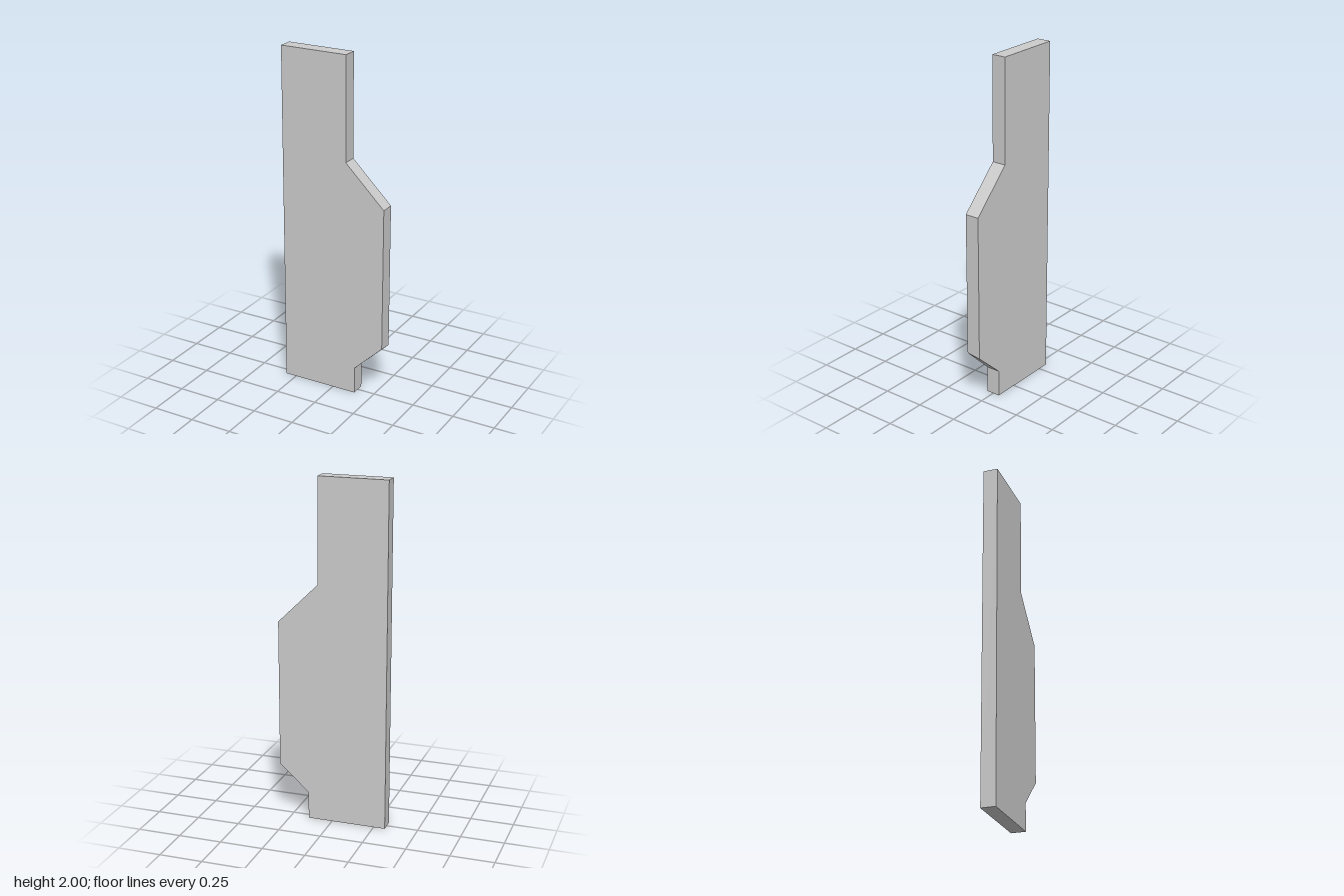
import * as THREE from 'three';

export function createModel() {
  const group = new THREE.Group();
  const depth = 0.084;

  // Plate outline, counter-clockwise from the bottom left
  const outline = [
    [-0.317, 0], [0.143, 0], [0.143, 0.16], [0.317, 0.328],
    [0.317, 1.17], [0.082, 1.402], [0.082, 2], [-0.317, 2],
  ];
  const shape = new THREE.Shape(outline.map(([x, y]) => new THREE.Vector2(x, y)));
  const geometry = new THREE.ExtrudeGeometry(shape, { depth, bevelEnabled: false });
  geometry.translate(0, 0, -depth / 2);

  // The lower outer corner sits slightly lower on the back face
  const p = geometry.attributes.position;
  for (let i = 0; i < p.count; i++) {
    if (p.getZ(i) < 0 && Math.abs(p.getY(i) - 0.328) < 0.001) p.setY(i, 0.317);
  }
  geometry.computeVertexNormals();

  const plate = new THREE.Mesh(
    geometry,
    new THREE.MeshStandardMaterial({ color: 0xcccccc, flatShading: true })
  );
  plate.name = 'plate';
  group.add(plate);
  return group;
}
